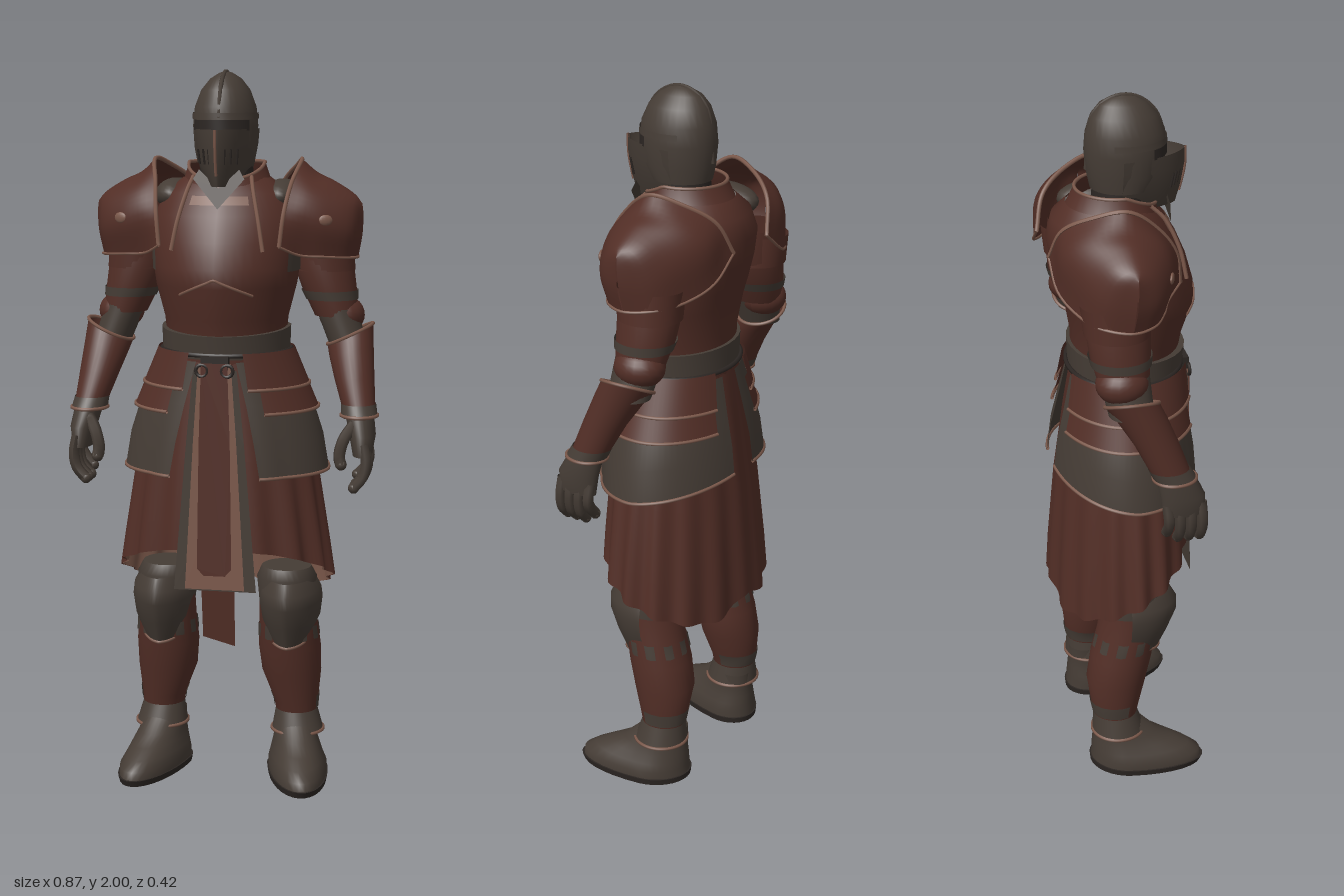
import * as THREE from 'three';

const mat = (name, color) => new THREE.MeshStandardMaterial({ name, color, side: THREE.DoubleSide });
const red = mat('oxblood plate', 0x522e26);
const steel = mat('dark steel', 0x453c35);
const tan = mat('worn trim', 0x7b584a);
const dark = mat('shadow leather', 0x2c2623);
const PI = Math.PI;

// A row is [y, cx, cz, rx, front depth, back depth]; angle 0 faces the front, growing towards +x.
const at = (r, a) => new THREE.Vector3(
  r[1] + r[3] * Math.sin(a), r[0], r[2] + (Math.cos(a) > 0 ? r[4] : r[5]) * Math.cos(a));
const grow = (rows, d) => rows.map(r => r.map((v, i) => i > 2 ? v + d : v));
const rowAt = (rows, y) => {
  let i = 0;
  while (i < rows.length - 2 && rows[i + 1][0] < y) i++;
  const k = (y - rows[i][0]) / (rows[i + 1][0] - rows[i][0]);
  return rows[i].map((v, j) => v + (rows[i + 1][j] - v) * k);
};

function mesh(parent, name, geo, m) {
  const o = new THREE.Mesh(geo, m);
  o.name = name;
  parent.add(o);
  return o;
}

function surface(parent, name, pos, idx, m) {
  const g = new THREE.BufferGeometry();
  g.setAttribute('position', new THREE.Float32BufferAttribute(pos, 3));
  g.setIndex(idx);
  g.computeVertexNormals();
  mesh(parent, name, g, m);
}

const smooth = (pts, closed = false) =>
  new THREE.CatmullRomCurve3(pts.map(p => p.isVector3 ? p : new THREE.Vector3(...p)), closed);

function tube(parent, name, pts, r, m, closed = false, n = 32) {
  mesh(parent, name, new THREE.TubeGeometry(smooth(pts, closed), n, r, 6, closed), m);
}

// Smooth skin over a family of curves with matching points
function skin(parent, name, curves, m, n = 30, rings = 16) {
  const lines = curves.map(c => smooth(c).getPoints(n)), pos = [], idx = [];
  for (let i = 0; i <= n; i++) {
    for (const p of smooth(lines.map(l => l[i])).getPoints(rings)) pos.push(...p.toArray());
    if (i) for (let j = 0; j < rings; j++) {
      const a = (i - 1) * (rings + 1) + j, b = a + rings + 1;
      idx.push(a, a + 1, b, a + 1, b + 1, b);
    }
  }
  surface(parent, name, pos, idx, m);
}

// Loft through rows listed from bottom to top, over a full turn or an arc.
function shell(parent, name, rows, m, { a0 = -PI, a1 = PI, n = 32, mod, cap, trim } = {}) {
  const full = a1 - a0 > 6.28, cols = full ? n : n + 1;
  const lo = rows[0], hi = rows[rows.length - 1];
  const shut = r => [r[0], r[1], r[2], 0, 0, 0];
  const all = cap ? [shut(lo), lo, ...rows, hi, shut(hi)] : rows;
  const pos = [], idx = [];
  const point = (r, j) => {
    const a = a0 + (a1 - a0) * j / n, p = at(r, a);
    if (mod) mod(p, a, (r[0] - lo[0]) / (hi[0] - lo[0]));
    return p;
  };
  all.forEach((r, i) => {
    for (let j = 0; j < cols; j++) pos.push(...point(r, j).toArray());
    if (i) for (let j = 0; j < n; j++) {
      const k = (j + 1) % cols, b = (i - 1) * cols, t = i * cols;
      idx.push(b + j, b + k, t + j, b + k, t + k, t + j);
    }
  });
  surface(parent, name, pos, idx, m);
  if (trim) tube(parent, name + 'Trim', Array.from({ length: cols }, (_, j) => point(trim === 'top' ? hi : lo, j)), 0.005, tan, full, n * 2);
}

// Thin patches lying on a shell: [low y, high y, first angle, last angle, material]
function patches(parent, name, rows, list, mod) {
  for (const [y0, y1, a0, a1, m] of list)
    shell(parent, name, grow([0, .5, 1].map(t => rowAt(rows, y0 + (y1 - y0) * t)), .003), m, { a0, a1, n: 10, mod });
}

// Thin hanging plate from a 2D outline; z follows the height.
function plate(parent, name, pts, zOf, m) {
  const g = new THREE.ShapeGeometry(new THREE.Shape(pts.map(p => new THREE.Vector2(...p))));
  const p = g.attributes.position;
  for (let i = 0; i < p.count; i++) p.setZ(i, zOf(p.getY(i)));
  g.computeVertexNormals();
  mesh(parent, name, g, m);
}

function mirrored(group, name) {
  const out = new THREE.Group();
  out.name = name;
  for (const o of group.children) {
    const g = o.geometry.clone().scale(-1, 1, 1), ix = g.index.array;
    for (let i = 0; i < ix.length; i += 3) [ix[i], ix[i + 1]] = [ix[i + 1], ix[i]];
    g.computeVertexNormals();
    mesh(out, o.name, g, o.material);
  }
  return out;
}

function buildHead(g) {
  const rows = [[1.75, 0, .015, .078, .08, .09], [1.79, 0, .02, .084, .1, .104], [1.85, 0, .02, .088, .108, .11],
    [1.9, 0, .02, .083, .104, .106], [1.945, 0, .018, .066, .085, .09], [1.975, 0, .015, .042, .058, .064],
    [1.99, 0, .015, .018, .03, .035], [1.996, 0, .015, 0, 0, 0]];
  shell(g, 'neck', [[1.62, 0, 0, .08, .07, .08], [1.78, 0, .01, .07, .075, .075]], dark);
  shell(g, 'helmet', rows, steel);
  shell(g, 'browBand', grow([1.868, 1.885].map(y => rowAt(rows, y)), .004), steel, { a0: -2, a1: 2 });
  shell(g, 'eyeSlit', grow([1.838, 1.866].map(y => rowAt(rows, y)), .003), dark, { a0: -1, a1: 1 });
  const keel = (p, a) => { p.z -= .035 * Math.min(1, Math.abs(a)); };
  shell(g, 'visor', [[1.69, 0, .02, .05, .135, .08], [1.74, 0, .02, .074, .15, .08], [1.8, 0, .02, .086, .16, .1],
    [1.842, 0, .02, .09, .16, .1]], steel, { a0: -1.5, a1: 1.5, mod: keel });
  tube(g, 'visorRidge', [[0, 1.72, .165], [0, 1.77, .177], [0, 1.8, .181], [0, 1.842, .181]], .004, tan);
  for (const s of [-1, 1]) for (let i = 0; i < 3; i++)
    tube(g, 'breathSlot', [[s * (.02 + i * .015), 1.75, .154 - i * .012], [s * (.022 + i * .016), 1.79, .161 - i * .012]], .003, dark, false, 4);
  tube(g, 'comb', [[0, 1.87, .126], [0, 1.945, .1], [0, 1.982, .06], [0, 1.994, .015], [0, 1.982, -.03], [0, 1.94, -.07], [0, 1.8, -.085]], .006, steel);
}

function buildTorso(g) {
  const rows = [[1.26, 0, 0, .165, .165, .13], [1.33, 0, 0, .172, .178, .13], [1.42, 0, 0, .195, .208, .145],
    [1.47, 0, 0, .203, .205, .16], [1.54, 0, 0, .205, .185, .18], [1.61, 0, 0, .2, .155, .192],
    [1.67, 0, 0, .17, .12, .178], [1.71, 0, 0, .12, .09, .14]];
  const keel = (p, a) => { if (Math.abs(a) < 1.4) p.z -= .02 * Math.abs(a) / 1.4 * (1.4 - Math.abs(a)); };
  shell(g, 'cuirass', rows, red, { n: 48, mod: keel });
  const chevron = Array.from({ length: 13 }, (_, i) => {
    const a = -.55 + 1.1 * i / 12, p = at(grow([rowAt(rows, 1.445 - Math.abs(a) * .08)], .001)[0], a);
    keel(p, a);
    return p;
  });
  tube(g, 'bellyChevron', chevron, .004, tan);
  patches(g, 'chestBand', rows, [[1.64, 1.664, -.45, .45, tan]], keel);
  for (const s of [-1, 1]) {
    tube(g, 'chestStrap', [[s * .125, 1.52, .158], [s * .11, 1.6, .142], [s * .09, 1.68, .105], [s * .08, 1.715, .07]], .006, tan);
    patches(g, 'armpitPad', rows, [[1.46, 1.54, s * 1.4 - .3, s * 1.4 + .3, steel]], keel);
    mesh(g, 'shoulderPad', new THREE.SphereGeometry(1, 20, 14).scale(.055, .045, .1).translate(s * .15, 1.66, -.035), steel);
  }
  // Neck guard
  shell(g, 'collar', [[1.64, 0, -.01, .155, .13, .175], [1.7, 0, 0, .122, .107, .14], [1.75, 0, 0, .105, .1, .115]], red,
    { trim: 'top', mod: (p, a, t) => { p.y -= t * .045 * Math.max(0, Math.cos(a)); } });
  plate(g, 'throatPlate', [[-.07, 1.71], [0, 1.63], [.07, 1.71], [.055, 1.735], [0, 1.685], [-.055, 1.735]], y => .138 - (y - 1.66) * .25, steel);
  // Belt and buckle
  shell(g, 'belt', [[1.24, 0, 0, .178, .173, .138], [1.305, 0, 0, .18, .182, .14]], steel,
    { cap: true, mod: (p, a) => { p.y -= .015 * Math.max(0, Math.cos(a)); } });
  tube(g, 'beltCord', Array.from({ length: 24 }, (_, i) => at([1.238, 0, 0, .18, .172, .142], i * PI / 12)), .007, dark, true, 64);
  shell(g, 'hips', [[.9, 0, 0, .2, .15, .14], [1.25, 0, 0, .172, .165, .13]], red);
  mesh(g, 'buckle', new THREE.BoxGeometry(.075, .035, .025).translate(0, 1.22, .18), dark);
  for (const x of [-.035, .035]) mesh(g, 'buckleLoop', new THREE.TorusGeometry(.016, .005, 6, 14).translate(x, 1.2, .192), dark);
}

function buildSkirt(g) {
  const rows = [[.6, 0, 0, .3, .183, .2], [.7, 0, 0, .287, .183, .195], [.9, 0, 0, .258, .178, .178], [1.1, 0, 0, .215, .168, .15], [1.22, 0, 0, .18, .162, .13]];
  const hang = (p, a, t) => {
    const k = 1 + .035 * (1 - t) * Math.cos(16 * a);
    p.x *= k;
    p.z *= k;
    p.y += (1 - t) * (.1 * Math.cos(a) + .045 * Math.exp(-(((Math.abs(a) - PI) / .25) ** 2)));
  };
  shell(g, 'skirt', rows, red, { n: 128, mod: hang });
  shell(g, 'skirtLining', grow(rows.slice(0, 3), -.005), tan, { a0: 1.25, a1: 2 * PI - 1.25, n: 96,
    mod: (p, a, t) => hang(p, a > PI ? a - 2 * PI : a, t * .48) });
  // Layered front panel
  const z = d => y => .184 + d + (y < 1.0 ? .004 : 0);
  plate(g, 'panelBacking', [[-.115, .585], [.115, .585], [.08, 1.0], [.06, 1.2], [-.06, 1.2], [-.08, 1.0]], z(0), steel);
  plate(g, 'panelBorder', [[-.083, .59], [.083, .59], [.06, 1.0], [.045, 1.22], [-.045, 1.22], [-.06, 1.0]], z(.006), tan);
  plate(g, 'panelCentre', [[-.048, .65], [-.03, .63], [.03, .63], [.048, .65], [.043, 1.0], [.036, 1.22], [-.036, 1.22], [-.043, 1.0]], z(.011), red);
  plate(g, 'hangingCloth', [[-.045, .435], [.045, .41], [.05, .8], [-.05, .8]], y => .125 + (y - .42) * .1, red);
}

function buildSide(g) {
  // Shoulder guard: arcs from front to back, stepping outwards from the standing inner rim
  const arcs = [
    [[.165, 1.53, .13], [.175, 1.62, .116], [.188, 1.7, .06], [.205, 1.758, -.02], [.18, 1.74, -.1], [.13, 1.69, -.175], [.085, 1.6, -.203]],
    [[.215, 1.505, .085], [.228, 1.61, .1], [.238, 1.68, .06], [.245, 1.722, -.03], [.232, 1.705, -.12], [.195, 1.65, -.185], [.17, 1.54, -.197]],
    [[.275, 1.5, .06], [.285, 1.59, .078], [.29, 1.66, .045], [.292, 1.7, -.03], [.287, 1.68, -.1], [.268, 1.62, -.152], [.25, 1.51, -.165]],
    [[.335, 1.495, .02], [.347, 1.57, .033], [.35, 1.635, .012], [.352, 1.662, -.03], [.348, 1.645, -.075], [.338, 1.58, -.105], [.325, 1.5, -.12]],
    [[.36, 1.493, -.04], [.372, 1.56, -.032], [.373, 1.62, -.03], [.37, 1.64, -.03], [.372, 1.615, -.032], [.371, 1.56, -.036], [.36, 1.493, -.042]]];
  skin(g, 'pauldron', arcs, red);
  tube(g, 'pauldronRim', arcs[0], .006, tan, false, 48);
  tube(g, 'pauldronHem', [...arcs.map(a => a[0]), ...arcs.slice(0, 4).map(a => a[6]).reverse()], .004, tan, false, 48);
  mesh(g, 'pauldronWear', new THREE.SphereGeometry(1, 12, 8).scale(.02, .015, .006).rotateY(.4).translate(.283, 1.6, .077), tan);
  shell(g, 'pauldronLame', [[1.455, .266, -.06, .084, .085, .09], [1.54, .264, -.06, .08, .09, .1]], red);
  // Arm
  shell(g, 'upperArm', [[1.33, .3, -.05, .06, .065, .07], [1.4, .28, -.058, .075, .08, .08], [1.47, .262, -.06, .084, .086, .085], [1.56, .25, -.06, .08, .08, .08]], red);
  shell(g, 'armBand', [[1.375, .287, -.056, .073, .08, .08], [1.4, .28, -.058, .079, .085, .085]], steel);
  mesh(g, 'elbowGuard', new THREE.SphereGeometry(.064, 20, 14).scale(1, .85, 1.1).translate(.314, 1.33, -.06), red);
  shell(g, 'elbowJoint', [[1.25, .335, -.04, .052, .06, .06], [1.35, .3, -.05, .058, .065, .07]], steel);
  shell(g, 'bracer', [[1.085, .378, .055, .045, .055, .05], [1.17, .36, .02, .055, .06, .058], [1.24, .347, -.015, .061, .066, .067], [1.28, .341, -.037, .063, .068, .074]],
    red, { trim: 'top', mod: (p, a, t) => { p.y += t * t * .03 * Math.sin(a); } });
  shell(g, 'cuff', [[1.07, .38, .065, .05, .06, .055], [1.1, .376, .05, .048, .058, .054]], steel, { trim: 'bottom' });
  // Gloved hand
  shell(g, 'palm', [[.965, .393, .09, .026, .058, .056], [1.02, .392, .085, .036, .062, .058], [1.09, .378, .06, .04, .05, .045]], steel, { cap: true });
  for (let i = 0; i < 4; i++) {
    const z = .045 + i * .03, len = i === 0 ? .02 : 0;
    tube(g, 'finger', [[.4, 1.0, z], [.408, .95, z + .003], [.4, .91 + len, z + .004], [.375, .88 + len, z + .004]], .0155, steel, false, 10);
    mesh(g, 'fingertip', new THREE.SphereGeometry(.0155, 8, 6).translate(.375, .88 + len, z + .004), steel);
  }
  tube(g, 'thumb', [[.37, 1.05, .11], [.345, 1.01, .135], [.335, .965, .142], [.34, .945, .143]], .0165, steel, false, 10);
  mesh(g, 'thumbTip', new THREE.SphereGeometry(.0165, 8, 6).translate(.34, .945, .143), steel);
  // Hip plates: steel under two red lames, open at front and back
  shell(g, 'lowerHipPlate', [[.905, 0, 0, .288, .205, .195], [1.0, 0, 0, .272, .2, .185], [1.1, 0, 0, .24, .187, .165], [1.22, 0, 0, .187, .175, .142]], steel,
    { a0: .3, a1: 2.97, trim: 'bottom', mod: (p, a, t) => { p.y += (1 - t) * .03 * Math.max(0, a - 1.6); if (a < .7) p.x += (1 - t) * .04 * (.7 - a) / .4; } });
  const lame = (y, r, a0) => shell(g, 'hipLame', [[y, 0, 0, r, .207 - (y - 1.07) * .15, .183 - (y - 1.07) * .15], [y + .1, 0, 0, r - .042, .188, .155]], red,
    { a0, a1: 2.75, trim: 'bottom' });
  lame(1.08, .258, .55);
  lame(1.145, .232, .4);
  // Leg
  shell(g, 'thigh', [[.5, .175, 0, .078, .08, .085], [.59, .173, 0, .085, .085, .09], [.62, .172, 0, .07, .07, .075]], steel, { cap: true });
  const shin = [[.15, .197, -.05, .056, .053, .06], [.21, .195, -.05, .063, .066, .072], [.3, .182, -.045, .085, .085, .088], [.38, .178, -.03, .089, .088, .09], [.46, .176, -.01, .083, .08, .09], [.53, .175, 0, .08, .08, .09]];
  shell(g, 'greave', shin, red);
  patches(g, 'greaveWear', shin, [[.41, .45, -PI, PI, steel], [.19, .23, 1.2, 4.8, steel]]);
  shell(g, 'kneeGuard', [[.43, .183, .01, .062, .068, .03], [.48, .183, .01, .084, .095, .03], [.53, .183, .01, .09, .12, .03], [.56, .183, .01, .086, .12, .03], [.59, .183, .01, .07, .1, .03]], steel,
    { a0: -1.6, a1: 1.6, trim: 'bottom', mod: (p, a, t) => { p.y -= (1 - t) * .035 * Math.cos(a); p.z -= .018 * Math.abs(a); } });
  shell(g, 'bootCuff', [[.125, .2, -.045, .074, .076, .076], [.185, .196, -.05, .06, .06, .067]], steel, { trim: 'bottom' });
  const splay = p => { p.x += p.z * .17; };
  shell(g, 'boot', [[.015, .207, -.025, .085, .222, .098], [.04, .207, -.025, .085, .217, .096], [.062, .205, -.03, .077, .19, .09], [.085, .204, -.035, .07, .15, .083], [.11, .202, -.04, .063, .105, .076], [.16, .198, -.05, .056, .06, .065]],
    steel, { mod: splay });
  shell(g, 'sole', [[0, .207, -.025, .086, .22, .1], [.018, .207, -.025, .089, .228, .102]], dark, { cap: true, mod: splay });
}

export function createModel() {
  const model = new THREE.Group();
  model.name = 'armouredKnight';
  const part = (name, build) => {
    const g = new THREE.Group();
    g.name = name;
    build(g);
    model.add(g);
    return g;
  };
  part('head', buildHead);
  part('torso', buildTorso);
  part('skirtGroup', buildSkirt);
  model.add(mirrored(part('leftSide', buildSide), 'rightSide'));
  return model;
}
